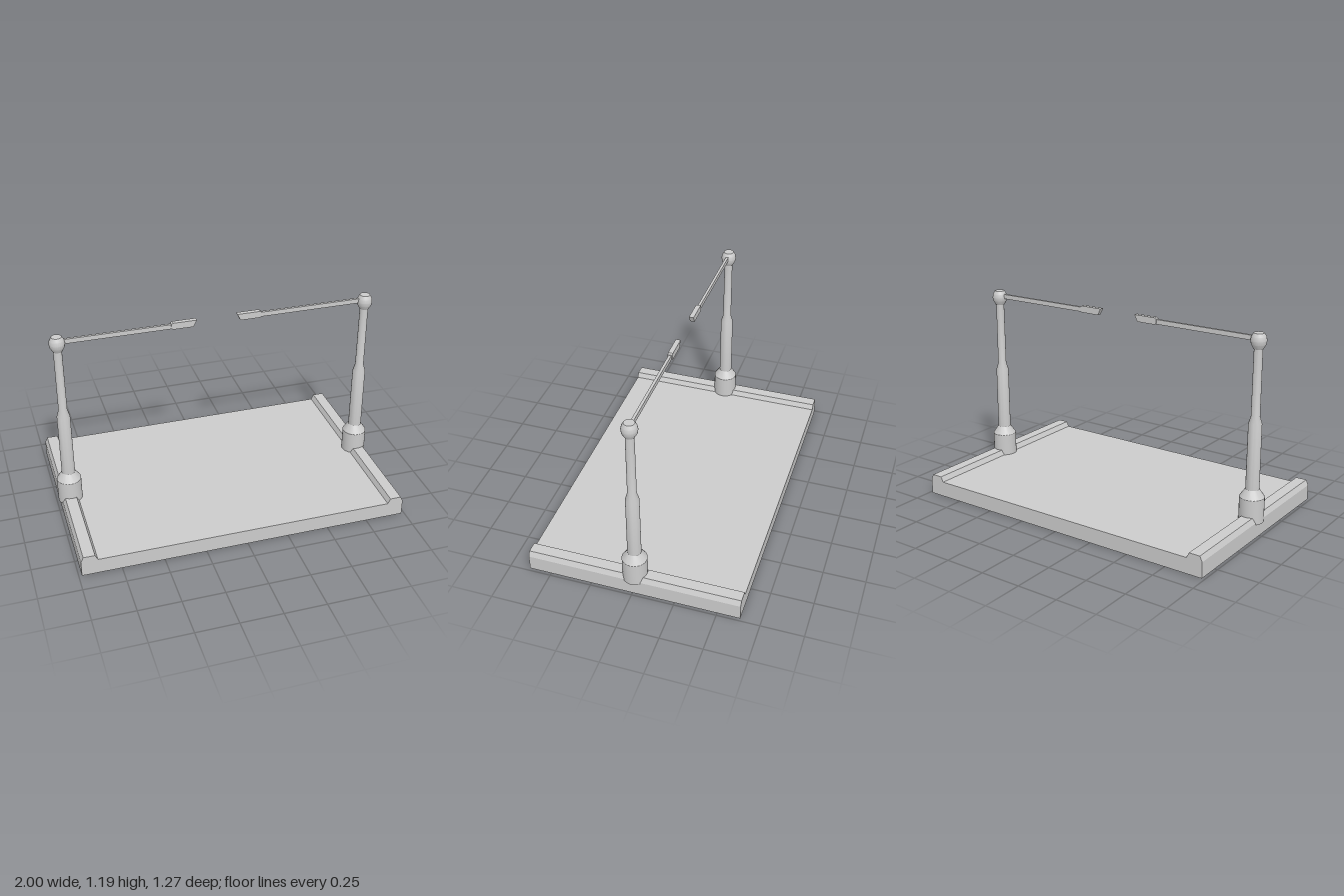
import * as THREE from 'three';
import { toCreasedNormals } from 'three/addons/utils/BufferGeometryUtils.js';

const material = new THREE.MeshStandardMaterial({ color: 0xcccccc });

function part(name, geometry) {
  const mesh = new THREE.Mesh(geometry, material);
  mesh.name = name;
  return mesh;
}

// Prism from an x-y outline, centred on z = 0
function prism(points, depth) {
  const shape = new THREE.Shape(points.map(([x, y]) => new THREE.Vector2(x, y)));
  return new THREE.ExtrudeGeometry(shape, { depth, bevelEnabled: false }).translate(0, 0, -depth / 2);
}

// Turned part from [radius, height] pairs, smooth around and sharp at the steps
function turned(points) {
  const profile = points.map(([r, y]) => new THREE.Vector2(r, y));
  return toCreasedNormals(new THREE.LatheGeometry(profile, 24), 0.4);
}

// One post with its arm reaching towards the middle; side is +1 (left) or -1 (right)
function createBarrier(side) {
  const barrier = new THREE.Group();
  barrier.name = side > 0 ? 'leftBarrier' : 'rightBarrier';

  const post = part('post', turned([
    [0, 0.083], [0.073, 0.083], [0.073, 0.231], [0.04, 0.279],
    [0.039, 0.667], [0.026, 0.711], [0.025, 1.11],
  ]));
  const ball = part('ballJoint', turned([
    [0, 1.097], [0.028, 1.097], [0.042, 1.122], [0.046, 1.144],
    [0.042, 1.166], [0.03, 1.186], [0, 1.186],
  ]));
  post.position.x = ball.position.x = side * 0.927;

  const arm = part('arm', new THREE.BoxGeometry(0.65, 0.028, 0.016));
  arm.position.set(side * 0.585, 1.153, 0);

  // Slanted tip, outline reversed on the mirrored side to keep its winding
  const outline = [[0.142, 1.137], [0.262, 1.137], [0.272, 1.144], [0.272, 1.17], [0.262, 1.177], [0.122, 1.177]];
  const tip = part('armTip', prism(outline.map(([x, y]) => [x * side, y]), 0.028));

  barrier.add(post, ball, arm, tip);
  return barrier;
}

export function createModel() {
  const model = new THREE.Group();
  model.name = 'gateway';

  // Flat slab with a raised, chamfered curb along each side
  const half = [[0.982, 0], [0.982, 0.094], [0.967, 0.126], [0.9, 0.126], [0.885, 0.094]];
  const mirrored = half.map(([x, y]) => [-x, y]).reverse();
  model.add(part('base', prism([...half, ...mirrored], 1.266)));

  for (const side of [1, -1]) model.add(createBarrier(side));
  return model;
}
